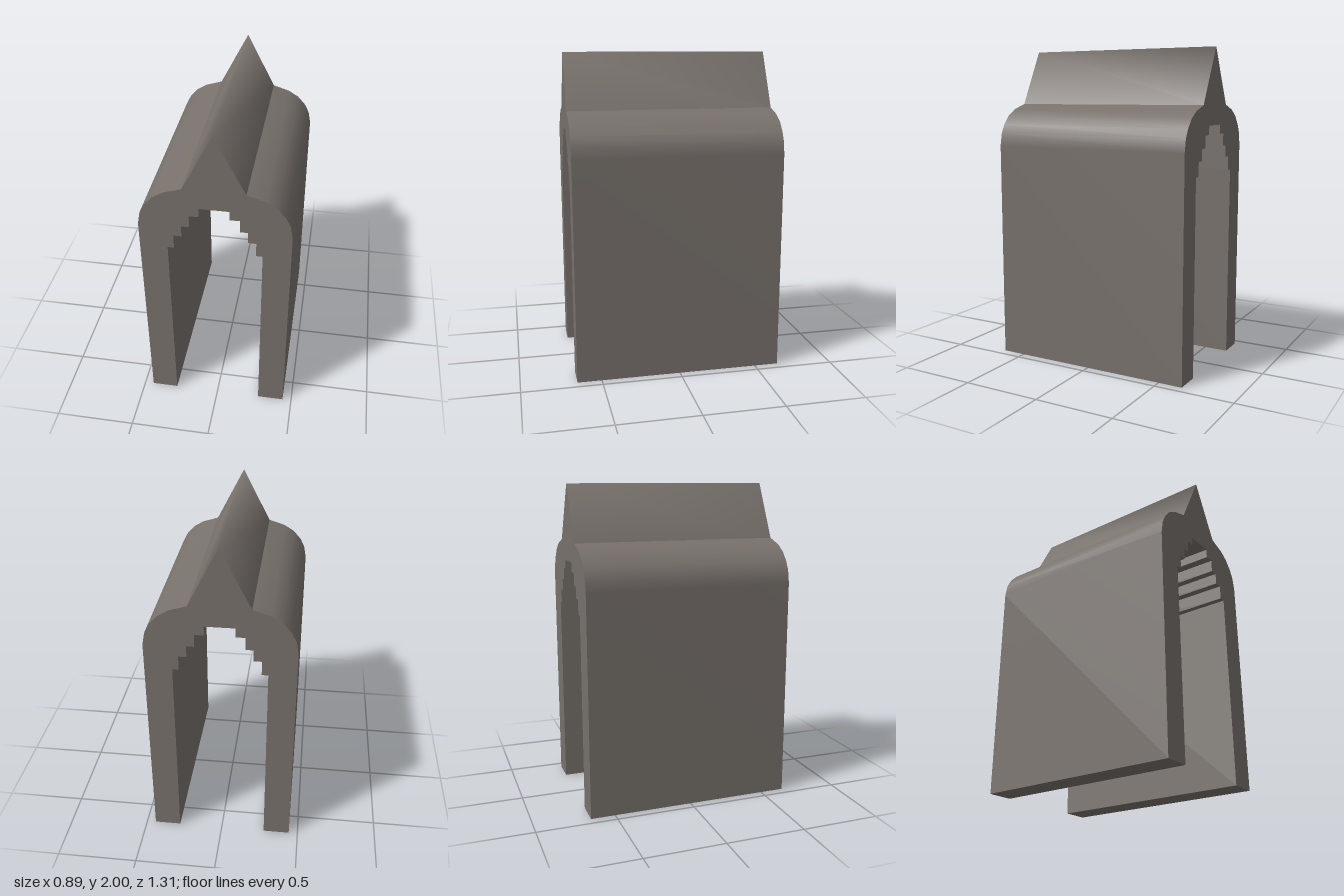
import * as THREE from 'three';

const HALF_DEPTH = 0.653;

const mirror = (points) => points.map(([x, y]) => [-x, y]).reverse();

// Sweeps an open x/y profile along z; the surface faces left of the direction of travel.
function sweep(profile, smooth) {
  const positions = [];
  const index = [];
  profile.forEach(([x, y], i) => {
    positions.push(x, y, HALF_DEPTH, x, y, -HALF_DEPTH);
    if (i === 0) return;
    const a = 2 * (i - 1);
    index.push(a, a + 2, a + 3, a, a + 3, a + 1);
  });
  let geometry = new THREE.BufferGeometry();
  geometry.setAttribute('position', new THREE.Float32BufferAttribute(positions, 3));
  geometry.setIndex(index);
  if (!smooth) geometry = geometry.toNonIndexed();
  geometry.computeVertexNormals();
  return geometry;
}

export function createModel() {
  const group = new THREE.Group();
  group.name = 'archedVault';
  const stone = new THREE.MeshStandardMaterial({ color: 0x78716c });
  stone.name = 'stone';

  const add = (name, geometry) => {
    const mesh = new THREE.Mesh(geometry, stone);
    mesh.name = name;
    group.add(mesh);
    return mesh;
  };

  // Outer shoulder and wall, from the foot of the ridge down to the ground
  const rightSide = [
    [0.18, 1.65], [0.285, 1.617], [0.35, 1.577], [0.4, 1.52],
    [0.428, 1.465], [0.443, 1.385], [0.443, 0],
  ];
  const leftSide = mirror(rightSide);
  const ridge = [[-0.18, 1.65], [0, 2], [0.18, 1.65]];

  // Stepped corbels of the inner arch: half width and height of each tread
  const treads = [[0.278, 1.23], [0.24, 1.32], [0.192, 1.392], [0.145, 1.47], [0.088, 1.527]];
  const innerRight = [[0.278, 0]];
  treads.forEach(([x, y], i) => {
    innerRight.push([x, y]);
    if (i + 1 < treads.length) innerRight.push([treads[i + 1][0], y]);
  });
  const inner = [...innerRight, ...mirror(innerRight)];

  // Long surfaces
  add('sideMinusX', sweep(leftSide, true));
  add('sidePlusX', sweep(rightSide, true));
  add('roofRidge', sweep(ridge, true));
  add('corbelledArch', sweep(inner, false));
  add('footPlusX', sweep([[0.443, 0], [0.278, 0]], false));
  add('footMinusX', sweep([[-0.278, 0], [-0.443, 0]], false));

  // End faces
  const outline = [...leftSide, [0, 2], ...rightSide, ...inner];
  const face = new THREE.ShapeGeometry(
    new THREE.Shape(outline.map(([x, y]) => new THREE.Vector2(x, y))));
  add('frontFace', face).position.z = HALF_DEPTH;
  add('backFace', face.clone().rotateY(Math.PI)).position.z = -HALF_DEPTH;

  return group;
}
